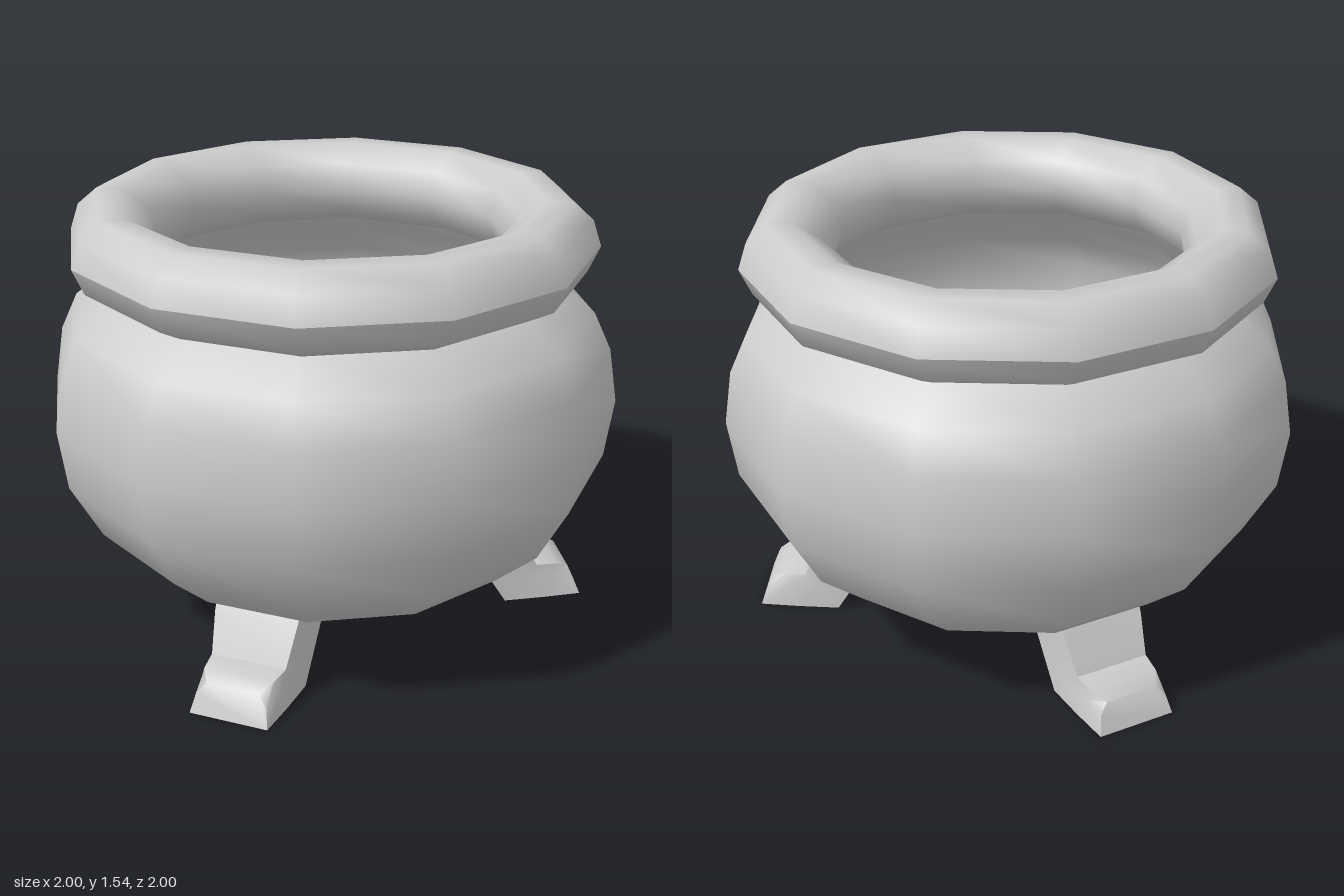
import * as THREE from 'three';
import { toCreasedNormals } from 'three/addons/utils/BufferGeometryUtils.js';

const SIDES = 12;
const material = new THREE.MeshStandardMaterial({ color: 0xcccccc });

function turned(name, profile) {
  const points = profile.map(([r, y]) => new THREE.Vector2(r, y));
  const mesh = new THREE.Mesh(new THREE.LatheGeometry(points, SIDES), material);
  mesh.name = name;
  return mesh;
}

// Leg: six-point cross-sections running from the pot down to the toe.
// Each station: inner [r, y], outer [r, y], half width at the sole, half width on top.
function legGeometry() {
  const stations = [
    [0.46, 0.27, 0.64, 0.33, 0.165, 0.155],
    [0.505, 0.2, 0.685, 0.26, 0.165, 0.15],
    [0.63, 0, 0.75, 0.13, 0.155, 0.135],
    [0.78, 0, 0.83, 0.125, 0.15, 0.125],
    [0.92, 0, 0.88, 0.1, 0.14, 0.095],
  ];
  const positions = [];
  const index = [];
  for (const [ri, yi, ro, yo, h, ht] of stations) {
    const rm = ri + (ro - ri) * 0.65;
    const ym = yi + (yo - yi) * 0.65;
    const hm = h * 0.7 + ht * 0.3;
    positions.push(ri, yi, -h, rm, ym, -hm, ro, yo, -ht, ro, yo, ht, rm, ym, hm, ri, yi, h);
  }
  for (let s = 0; s < stations.length - 1; s++) {
    for (let k = 0; k < 6; k++) {
      const a = s * 6 + k;
      const b = s * 6 + (k + 1) % 6;
      index.push(a, b, a + 6, b, b + 6, a + 6);
    }
  }
  // Toe cap
  const toe = (stations.length - 1) * 6;
  for (let k = 1; k < 5; k++) index.push(toe, toe + k, toe + k + 1);

  const geometry = new THREE.BufferGeometry();
  geometry.setAttribute('position', new THREE.Float32BufferAttribute(positions, 3));
  geometry.setIndex(index);
  return toCreasedNormals(geometry, 0.95);
}

export function createModel() {
  const model = new THREE.Group();
  model.name = 'cauldron';

  // Rounded outer pot
  model.add(turned('potBody', [
    [0, 0.18], [0.24, 0.185], [0.48, 0.205], [0.7, 0.28], [0.86, 0.42], [0.97, 0.62],
    [1, 0.83], [0.97, 1.02], [0.91, 1.15], [0.79, 1.25], [0.72, 1.29],
  ]));

  // Hollow inside
  model.add(turned('potInterior', [
    [0.67, 1.3], [0.74, 1.2], [0.84, 1.09], [0.89, 0.98], [0.91, 0.83],
    [0.88, 0.66], [0.79, 0.49], [0.64, 0.37], [0.44, 0.3], [0.22, 0.28], [0, 0.275],
  ]));

  // Thick rolled rim
  model.add(turned('rim', [
    [0.915, 1.39], [0.885, 1.48], [0.815, 1.54], [0.73, 1.54], [0.64, 1.48], [0.61, 1.39],
    [0.64, 1.3], [0.72, 1.24], [0.79, 1.255], [0.875, 1.3], [0.915, 1.39],
  ]));

  // Three splayed feet
  const foot = legGeometry();
  for (let i = 0; i < 3; i++) {
    const leg = new THREE.Mesh(foot, material);
    leg.name = `leg${i + 1}`;
    leg.rotation.y = -THREE.MathUtils.degToRad(15 + i * 120);
    model.add(leg);
  }
  return model;
}
